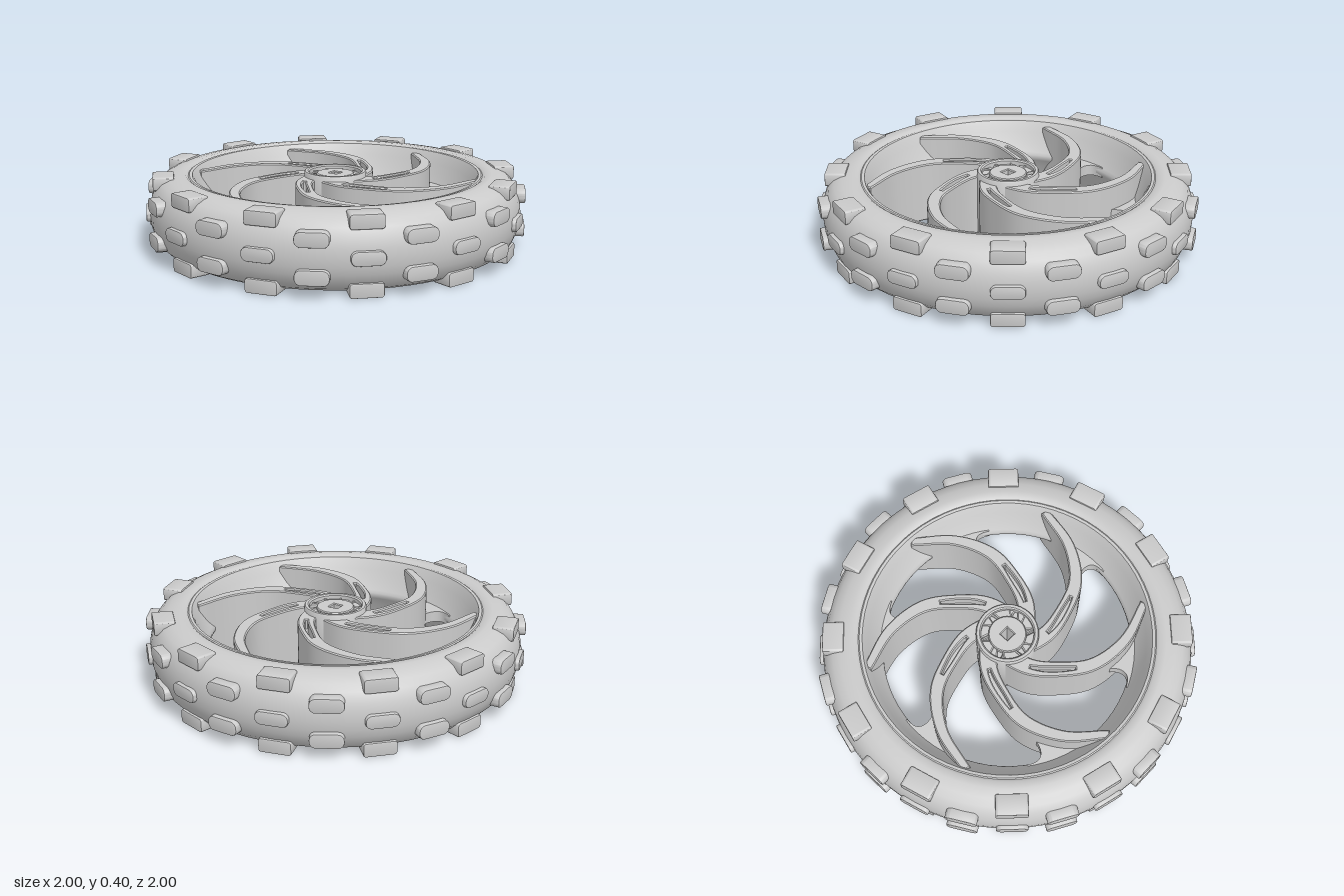
import * as THREE from 'three';
import { toCreasedNormals } from 'three/addons/utils/BufferGeometryUtils.js';

const material = new THREE.MeshStandardMaterial({ color: 0xcccccc, side: THREE.DoubleSide });
const MID = 0.2; // height of the wheel's middle plane

function add(parent, name, geometry) {
  const mesh = new THREE.Mesh(geometry, material);
  mesh.name = name;
  parent.add(mesh);
  return mesh;
}

// Closed ring from the upper half of a profile [radius, height above middle], mirrored downwards
function mirroredLathe(upper, segments) {
  const lower = upper.map(([r, h]) => [r, -h]).reverse();
  const loop = [...lower, ...upper, lower[0]].map(([r, h]) => new THREE.Vector2(r, MID + h));
  return toCreasedNormals(new THREE.LatheGeometry(loop, segments), 0.7);
}

// Plan shape (x, -z) raised to a slab centred on the middle plane
function slab(shape, height, bevel = 0) {
  const geo = new THREE.ExtrudeGeometry(shape, {
    depth: height - 2 * bevel, curveSegments: 16, bevelEnabled: bevel > 0,
    bevelThickness: bevel, bevelSize: bevel, bevelOffset: -bevel, bevelSegments: 1,
  });
  geo.translate(0, 0, bevel - height / 2);
  geo.rotateX(-Math.PI / 2);
  geo.translate(0, MID, 0);
  return toCreasedNormals(geo, 0.6);
}

// Outline of a band following a curve between t0 and t1
function bandPoints(curve, t0, t1, width, n) {
  const left = [], right = [];
  for (let i = 0; i <= n; i++) {
    const t = t0 + (t1 - t0) * i / n;
    const p = curve.getPointAt(t), d = curve.getTangentAt(t), w = width(t, i / n) / 2;
    left.push(new THREE.Vector2(p.x - d.y * w, p.y + d.x * w));
    right.push(new THREE.Vector2(p.x + d.y * w, p.y - d.x * w));
  }
  return [...right, ...left.reverse()];
}

// Rounded block pointing along +z, from radius r0 to r1
function knobGeometry(w, h, corner, r0, r1) {
  const x = w / 2 - corner, y = h / 2 - corner, s = new THREE.Shape();
  s.absarc(x, y, corner, 0, Math.PI / 2);
  s.absarc(-x, y, corner, Math.PI / 2, Math.PI);
  s.absarc(-x, -y, corner, Math.PI, Math.PI * 1.5);
  s.absarc(x, -y, corner, Math.PI * 1.5, Math.PI * 2);
  const bevel = 0.006;
  const geo = new THREE.ExtrudeGeometry(s, {
    depth: r1 - r0 - 2 * bevel, curveSegments: 5, bevelThickness: bevel,
    bevelSize: bevel, bevelOffset: -bevel, bevelSegments: 2,
  });
  geo.translate(0, 0, r0 + bevel);
  return toCreasedNormals(geo, 0.6);
}

export function createModel() {
  const wheel = new THREE.Group();
  wheel.name = 'wheel';

  // Tyre carcass
  add(wheel, 'tyre', mirroredLathe([
    [0.98, 0], [0.977, 0.045], [0.967, 0.085], [0.945, 0.135], [0.915, 0.165], [0.875, 0.185],
    [0.825, 0.195], [0.79, 0.196], [0.775, 0.185], [0.775, 0.1],
  ], 72));

  // Rim barrel with a lip and a raised centre
  add(wheel, 'rim', mirroredLathe([
    [0.79, 0], [0.785, 0.18], [0.77, 0.19], [0.755, 0.188], [0.745, 0.17],
    [0.728, 0.13], [0.7, 0.07], [0.675, 0.025], [0.665, 0.01],
  ], 72));

  // Tread knobs in five staggered rows
  const tread = new THREE.Group();
  tread.name = 'tread';
  wheel.add(tread);
  const shoulder = knobGeometry(0.165, 0.072, 0.014, 0.85, 0.96);
  const side = knobGeometry(0.165, 0.075, 0.032, 0.93, 1.0);
  const middle = knobGeometry(0.165, 0.07, 0.032, 0.94, 0.998);
  const rows = [
    ['shoulderKnob', shoulder, 0.364, 0.5], ['sideKnob', side, 0.29, 0],
    ['centreKnob', middle, 0.2, 0.5],
    ['sideKnob', side, 0.11, 0], ['shoulderKnob', shoulder, 0.036, 0.5],
  ];
  for (const [name, geo, y, offset] of rows) {
    for (let i = 0; i < 12; i++) {
      const knob = add(tread, name, geo);
      knob.position.y = y;
      knob.rotation.y = (i + offset) * Math.PI / 6;
    }
  }

  // Curved spoke, with a slot sunk into both faces near the hub
  const path = new THREE.CatmullRomCurve3([
    [0.09, -0.05], [0.2, 0.06], [0.255, 0.2], [0.28, 0.38], [0.2, 0.58], [0.03, 0.745],
  ].map(([x, y]) => new THREE.Vector3(x, y, 0)));
  const spokeWidth = t => 0.1 - 0.055 * t;
  const slotOutline = bandPoints(path, 0.17, 0.42, (t, u) => 0.012 + 0.014 * Math.sin(Math.PI * u), 14);
  const spokeShape = new THREE.Shape(bandPoints(path, 0, 1, spokeWidth, 40));
  spokeShape.holes.push(new THREE.Path(slotOutline));
  const spokeGeo = slab(spokeShape, 0.33, 0.006);
  const slotFloorGeo = slab(new THREE.Shape(bandPoints(path, 0.15, 0.44, () => 0.04, 14)), 0.22);

  // Web filling the narrow wedge between spoke tip and rim
  const web = new THREE.Shape();
  web.moveTo(0.03, 0.72);
  web.lineTo(0.2, 0.58);
  web.lineTo(0.285, 0.47);
  web.quadraticCurveTo(0.3, 0.55, 0.35, 0.555);
  web.quadraticCurveTo(0.375, 0.555, 0.41, 0.53);
  web.lineTo(0.43, 0.57);
  web.absarc(0, 0, 0.72, 0.92, 1.53, false);
  const webGeo = slab(web, 0.06);

  for (let i = 0; i < 6; i++) {
    const arm = new THREE.Group();
    arm.name = 'spokeArm';
    arm.rotation.y = i * Math.PI / 3;
    add(arm, 'spoke', spokeGeo);
    add(arm, 'slotFloor', slotFloorGeo);
    add(arm, 'rimWeb', webGeo);
    wheel.add(arm);
  }

  // Hub shell, core with a square axle hole, and ribs between them
  const hub = new THREE.Group();
  hub.name = 'hub';
  wheel.add(hub);
  add(hub, 'hubShell', mirroredLathe([
    [0.165, 0], [0.165, 0.185], [0.16, 0.192], [0.145, 0.192], [0.138, 0.185], [0.138, 0],
  ], 40));
  const withSquareHole = radius => {
    const s = new THREE.Shape().absarc(0, 0, radius, 0, Math.PI * 2);
    const a = 0.025;
    s.holes.push(new THREE.Path([[-a, -a], [-a, a], [a, a], [a, -a]].map(p => new THREE.Vector2(...p))));
    return s;
  };
  add(hub, 'hubCore', slab(withSquareHole(0.1), 0.36, 0.005));
  add(hub, 'hubFloor', slab(withSquareHole(0.145), 0.3));
  const ribGeo = new THREE.BoxGeometry(0.05, 0.345, 0.008);
  for (let i = 0; i < 10; i++) {
    const a = i * Math.PI / 5;
    const rib = add(hub, 'hubRib', ribGeo);
    rib.position.set(0.12 * Math.cos(a), MID, -0.12 * Math.sin(a));
    rib.rotation.y = a + 0.35;
  }
  return wheel;
}
